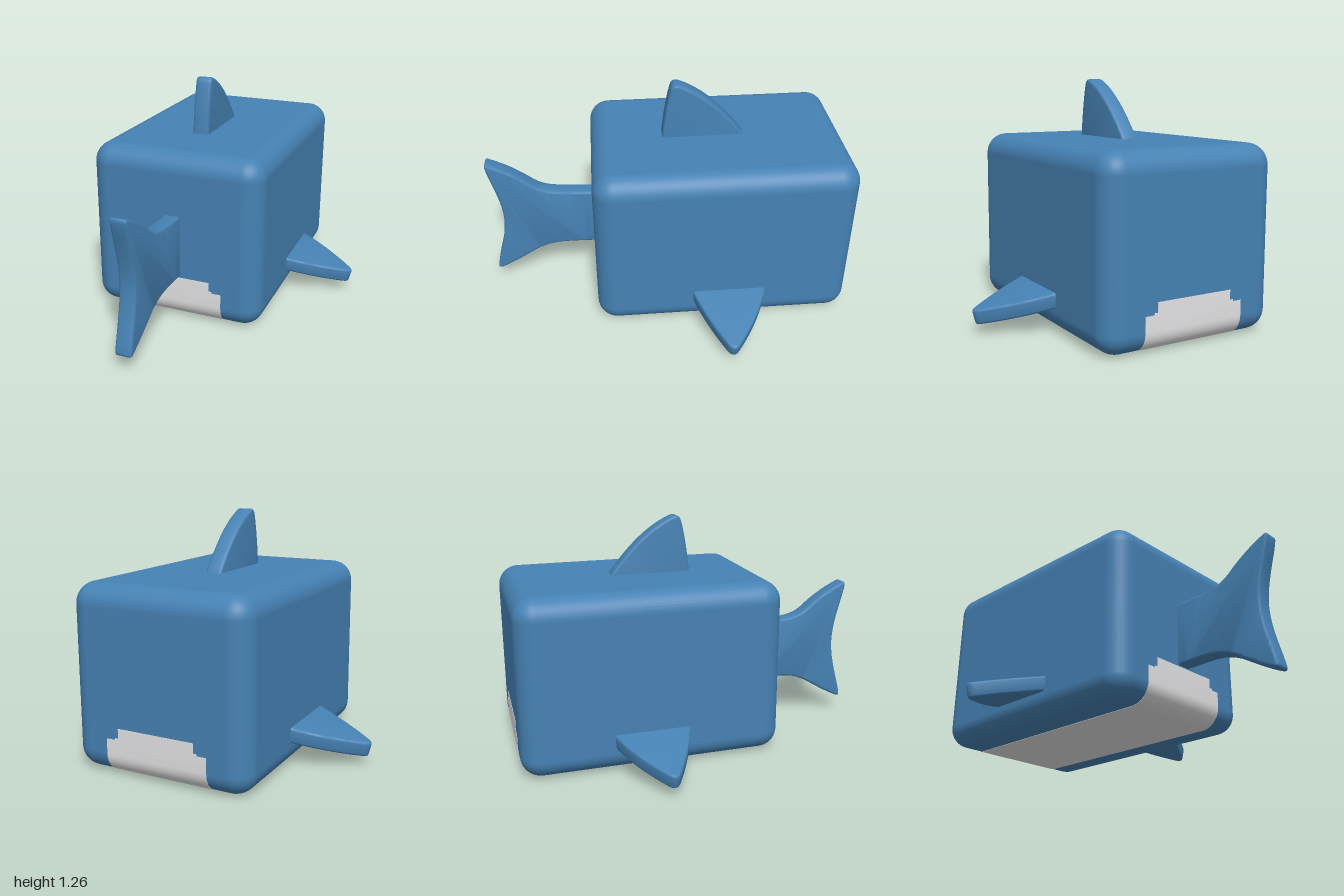
import * as THREE from 'three';
import { RoundedBoxGeometry } from 'three/addons/geometries/RoundedBoxGeometry.js';
import { toCreasedNormals } from 'three/addons/utils/BufferGeometryUtils.js';

const BODY = { width: 0.98, bottom: 0.002, top: 0.95, front: 0.41, back: -1, radius: 0.11 };

// Slab with softly rounded edges, centred on its own thickness
function slab(shape, thickness, bevel) {
  const depth = thickness - 2 * bevel;
  const geometry = new THREE.ExtrudeGeometry(shape, {
    depth, curveSegments: 16, bevelEnabled: bevel > 0, bevelSegments: 3,
    bevelSize: bevel, bevelThickness: bevel, bevelOffset: -bevel,
  });
  geometry.translate(0, 0, -depth / 2);
  return toCreasedNormals(geometry, 0.7);
}

// Slab whose outline is drawn in (z, y) and whose thickness runs along x
const uprightSlab = (shape, thickness, bevel) => slab(shape, thickness, bevel).rotateY(-Math.PI / 2);

function dorsalShape() {
  const s = new THREE.Shape();
  s.moveTo(0.02, 0.88);
  s.quadraticCurveTo(0.005, 1.1, -0.03, 1.23);
  s.quadraticCurveTo(-0.04, 1.268, -0.075, 1.257);
  s.quadraticCurveTo(-0.25, 1.19, -0.43, 0.95);
  s.lineTo(-0.46, 0.88);
  return s;
}

function tailShape() {
  const s = new THREE.Shape();
  s.moveTo(0.35, 0.255);
  s.lineTo(0.45, 0.258);
  s.bezierCurveTo(0.62, 0.262, 0.66, 0.262, 0.75, 0.22);
  s.bezierCurveTo(0.82, 0.18, 0.89, 0.13, 0.975, 0.092);
  s.quadraticCurveTo(1.005, 0.08, 0.998, 0.115);
  s.bezierCurveTo(0.985, 0.19, 0.93, 0.33, 0.93, 0.45);
  s.bezierCurveTo(0.93, 0.58, 0.985, 0.71, 0.998, 0.79);
  s.quadraticCurveTo(1.005, 0.825, 0.975, 0.812);
  s.bezierCurveTo(0.89, 0.775, 0.82, 0.73, 0.75, 0.67);
  s.bezierCurveTo(0.68, 0.615, 0.62, 0.618, 0.45, 0.608);
  s.lineTo(0.35, 0.605);
  return s;
}

// Side fin outline in (x, z), measured outward from the body wall
function sideFinShape(side) {
  const s = new THREE.Shape();
  s.moveTo(-0.07 * side, -0.1);
  s.lineTo(0, -0.12);
  s.quadraticCurveTo(0.17 * side, -0.175, 0.325 * side, -0.265);
  s.quadraticCurveTo(0.382 * side, -0.298, 0.33 * side, -0.335);
  s.quadraticCurveTo(0.17 * side, -0.46, 0, -0.52);
  s.lineTo(-0.07 * side, -0.54);
  return s;
}

// Thin U-shaped skin under the body, climbing to a height at both ends
function bellyShape(height) {
  const { front, back, radius } = BODY;
  const outer = 0.002, inner = -0.006;
  const line = (off) => {
    const r = radius + off, points = [];
    points.push([front + off, height]);
    for (let i = 0; i <= 10; i++) {
      const a = (i / 10) * Math.PI / 2;
      points.push([front - radius + r * Math.cos(a), BODY.bottom + radius - r * Math.sin(a)]);
    }
    for (let i = 0; i <= 10; i++) {
      const a = (i / 10) * Math.PI / 2;
      points.push([back + radius - r * Math.sin(a), BODY.bottom + radius - r * Math.cos(a)]);
    }
    points.push([back - off, height]);
    return points;
  };
  return new THREE.Shape([...line(outer), ...line(inner).reverse()].map(([z, y]) => new THREE.Vector2(z, y)));
}

export function createModel() {
  const model = new THREE.Group();
  model.name = 'boxFish';
  const skin = new THREE.MeshStandardMaterial({ color: 0x4682b4 });
  skin.name = 'blue skin';
  const pale = new THREE.MeshStandardMaterial({ color: 0xe6e6e8 });
  pale.name = 'pale belly';

  const add = (name, geometry, material) => {
    const mesh = new THREE.Mesh(geometry, material);
    mesh.name = name;
    model.add(mesh);
    return mesh;
  };

  // Rounded block body
  const { width, bottom, top, front, back, radius } = BODY;
  add('body', new RoundedBoxGeometry(width, top - bottom, front - back, 6, radius), skin)
    .position.set(0, (top + bottom) / 2, (front + back) / 2);

  // Belly patch, stepping narrower as it climbs each end
  for (const [name, w, h] of [['bellyWide', 0.56, 0.19], ['bellyMiddle', 0.46, 0.2], ['bellyNarrow', 0.424, 0.25]]) {
    add(name, uprightSlab(bellyShape(h), w, 0), pale);
  }

  // Upright fins
  add('dorsalFin', uprightSlab(dorsalShape(), 0.092, 0.014), skin);
  add('tailFin', uprightSlab(tailShape(), 0.092, 0.014), skin);

  // Drooping side fins
  for (const side of [1, -1]) {
    const geometry = slab(sideFinShape(side), 0.08, 0.012).rotateX(Math.PI / 2);
    const fin = add(side > 0 ? 'leftFin' : 'rightFin', geometry, skin);
    fin.position.set(0.49 * side, 0.172, 0);
    fin.rotation.z = -0.25 * side;
  }
  return model;
}
